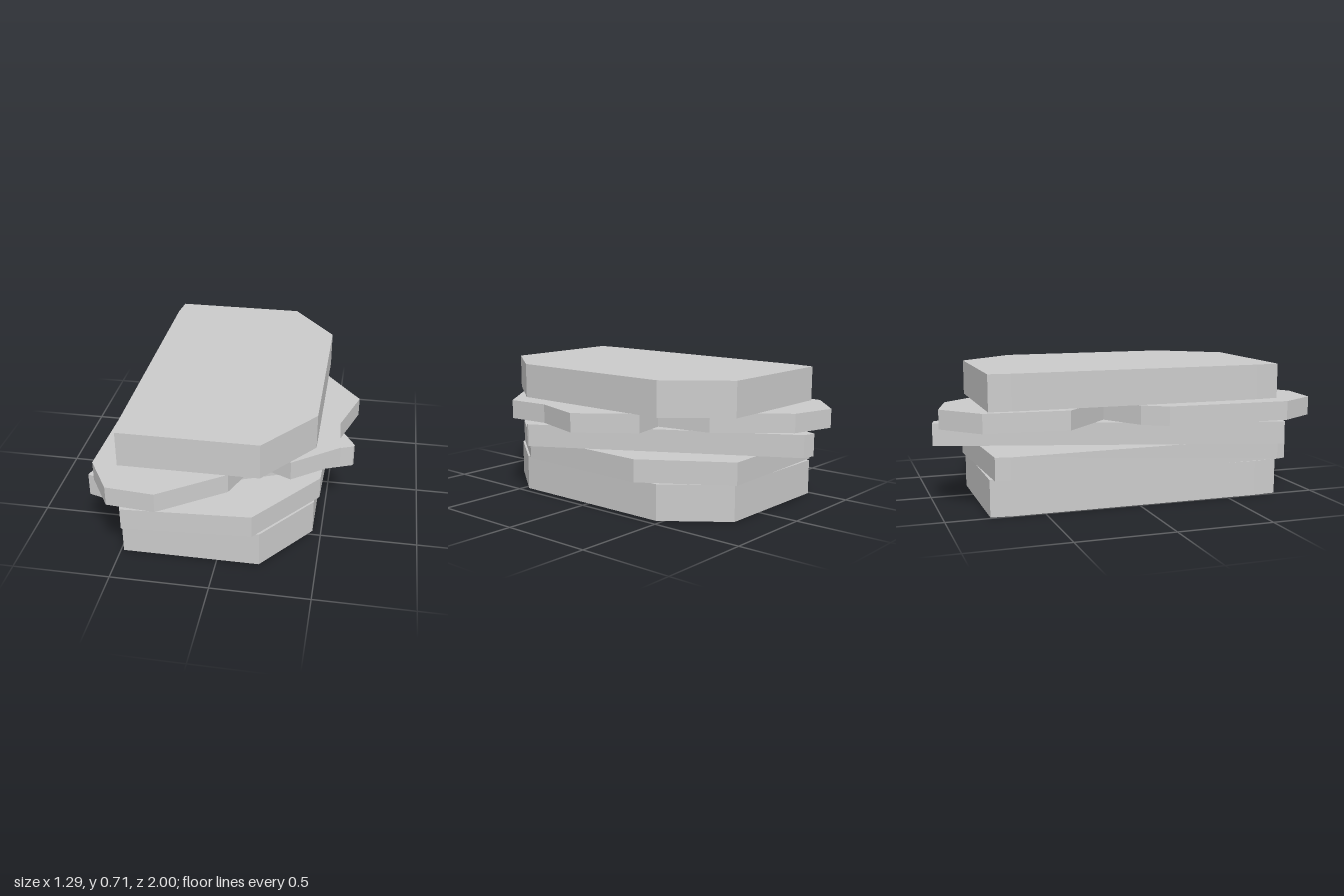
import * as THREE from 'three';

const material = new THREE.MeshStandardMaterial({ color: 0xcccccc, flatShading: true });

// Flat slab: outline given as [x, z] corners, extruded upwards from y0 to y1
function slab(name, outline, y0, y1) {
  const shape = new THREE.Shape(outline.map(([x, z]) => new THREE.Vector2(x, -z)));
  const geometry = new THREE.ExtrudeGeometry(shape, { depth: y1 - y0, bevelEnabled: false });
  geometry.rotateX(-Math.PI / 2).translate(0, y0, 0);
  const mesh = new THREE.Mesh(geometry, material);
  mesh.name = name;
  return mesh;
}

// Bread slice with two cut corners on the +x side
const bread = [
  [-0.485, 0.785], [0.215, 0.785], [0.455, 0.47], [0.455, -0.47],
  [0.215, -0.775], [-0.485, -0.775], [-0.497, -0.66], [-0.497, 0.66],
];

// Meat slice, a little larger than the bread and slightly twisted
const meat = [
  [-0.47, 0.85], [0.18, 0.81], [0.48, 0.42], [0.5, -0.36],
  [0.22, -0.79], [-0.525, -0.755], [-0.54, -0.68], [-0.485, 0.8],
];

// Triangular cheese slice with blunted tips
const cheese = [
  [-0.65, 0.745], [-0.58, 0.767], [0.635, 0.27], [0.64, 0.255],
  [-0.07, -0.985], [-0.14, -1.0],
];

// Lettuce leaf with three lobes parted by notches
const lettuce = [
  // front lobe
  [-0.59, 0.125], [-0.61, 0.78], [-0.49, 0.975], [-0.25, 0.995], [0.06, 0.78], [0.12, 0.63],
  // notch, then side lobe
  [0.08, 0.5], [0.345, 0.625], [0.575, 0.45], [0.556, 0.22], [0.643, -0.065], [0.43, -0.34],
  // notch, then back lobe
  [0.24, -0.3], [0.19, -0.595], [-0.08, -0.925], [-0.32, -0.99], [-0.52, -0.81], [-0.555, -0.38],
  // notch back to the front lobe
  [-0.3, -0.13], [-0.51, 0.0],
];

export function createModel() {
  const group = new THREE.Group();
  group.name = 'sandwich';
  group.add(
    slab('bottomBread', bread, 0, 0.188),
    slab('meatSlice', meat, 0.188, 0.306),
    slab('cheeseSlice', cheese, 0.306, 0.423),
    slab('lettuce', lettuce, 0.423, 0.522),
    slab('topBread', bread, 0.522, 0.706),
  );
  return group;
}
